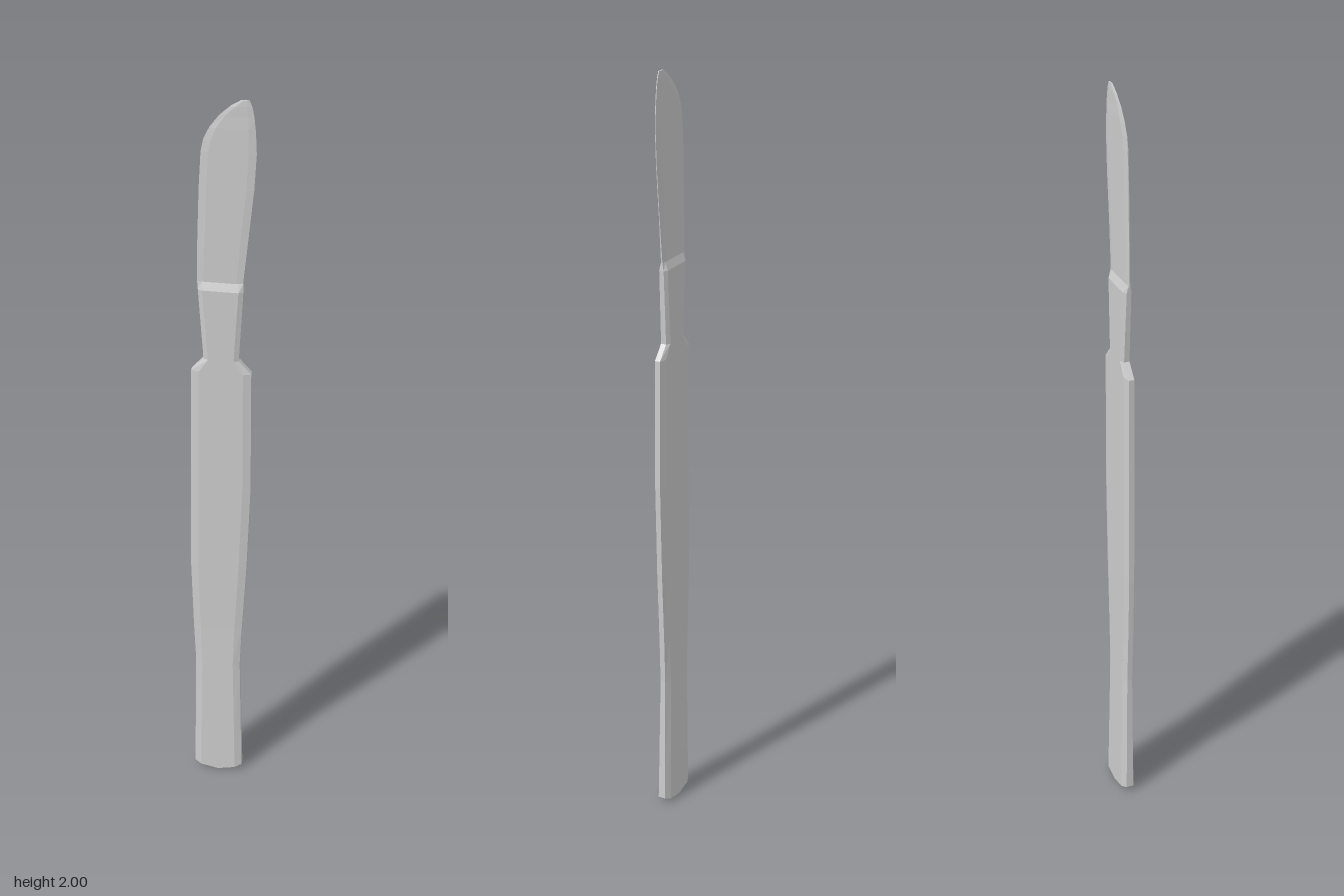
import * as THREE from 'three';

// Lofts flat ten-sided sections: [y, left, right, halfThickness, halfEdge, bevel, keelDrop]
function loft(name, sections) {
  const pos = [], idx = [], n = 10;
  for (const [y, l, r, t, e, bevel, drop = 0] of sections) {
    const c = Math.min(bevel, (r - l) * 0.4), m = (l + r) / 2;
    const front = [[l, y, e], [l + c, y - drop * 0.4, t], [m, y - drop, t], [r - c, y - drop * 0.4, t], [r, y, e]];
    const back = front.map(([x, py, z]) => [x, py, -z]).reverse();
    pos.push(...front.flat(), ...back.flat());
  }
  const last = (sections.length - 1) * n;
  for (let o = 0; o < last; o += n) {
    for (let i = 0; i < n; i++) {
      const a = o + i, b = o + (i + 1) % n;
      idx.push(a, b, b + n, a, b + n, a + n);
    }
  }
  // End caps, as strips joining the front half of the ring to the back half
  for (let i = 0; i < 4; i++) {
    const a = i, b = i + 1, c = 8 - i, d = 9 - i;
    idx.push(a, c, b, a, d, c);
    idx.push(last + a, last + b, last + c, last + a, last + c, last + d);
  }
  const indexed = new THREE.BufferGeometry();
  indexed.setAttribute('position', new THREE.Float32BufferAttribute(pos, 3));
  indexed.setIndex(idx);
  const geo = indexed.toNonIndexed();
  geo.computeVertexNormals();
  const mesh = new THREE.Mesh(geo, new THREE.MeshStandardMaterial({ color: 0xcccccc, flatShading: true }));
  mesh.name = name;
  return mesh;
}

export function createModel() {
  const group = new THREE.Group();
  group.name = 'scalpel';

  // Handle: narrow grip end, swelling body, shoulder
  group.add(loft('handle', [
    [0.02, -0.075, 0.055, 0.018, 0.010, 0.018, 0.017],
    [0.12, -0.074, 0.053, 0.017, 0.009, 0.018],
    [0.38, -0.071, 0.048, 0.014, 0.007, 0.018],
    [0.50, -0.076, 0.053, 0.013, 0.007, 0.019],
    [0.70, -0.082, 0.064, 0.013, 0.007, 0.020],
    [0.95, -0.080, 0.073, 0.013, 0.007, 0.020],
    [1.29, -0.077, 0.072, 0.013, 0.007, 0.020],
    [1.325, -0.046, 0.041, 0.013, 0.007, 0.012],
  ]));

  // Neck: flares towards the blade and slopes down onto it
  group.add(loft('neck', [
    [1.325, -0.046, 0.041, 0.013, 0.007, 0.012],
    [1.515, -0.059, 0.051, 0.012, 0.006, 0.011],
    [1.535, -0.060, 0.050, 0.004, 0.002, 0.011],
  ]));

  // Blade: thin, with a curved cutting edge rising to an offset tip
  group.add(loft('blade', [
    [1.53, -0.062, 0.049, 0.004, 0.002, 0.015],
    [1.65, -0.060, 0.061, 0.004, 0.001, 0.018],
    [1.78, -0.056, 0.074, 0.004, 0.001, 0.018],
    [1.87, -0.051, 0.079, 0.004, 0.001, 0.018],
    [1.90, -0.045, 0.078, 0.004, 0.001, 0.018],
    [1.93, -0.031, 0.076, 0.004, 0.001, 0.016],
    [1.96, -0.009, 0.073, 0.003, 0.001, 0.014],
    [1.985, 0.018, 0.068, 0.003, 0.001, 0.012],
    [2.0, 0.042, 0.062, 0.002, 0.001, 0.006],
  ]));

  return group;
}
